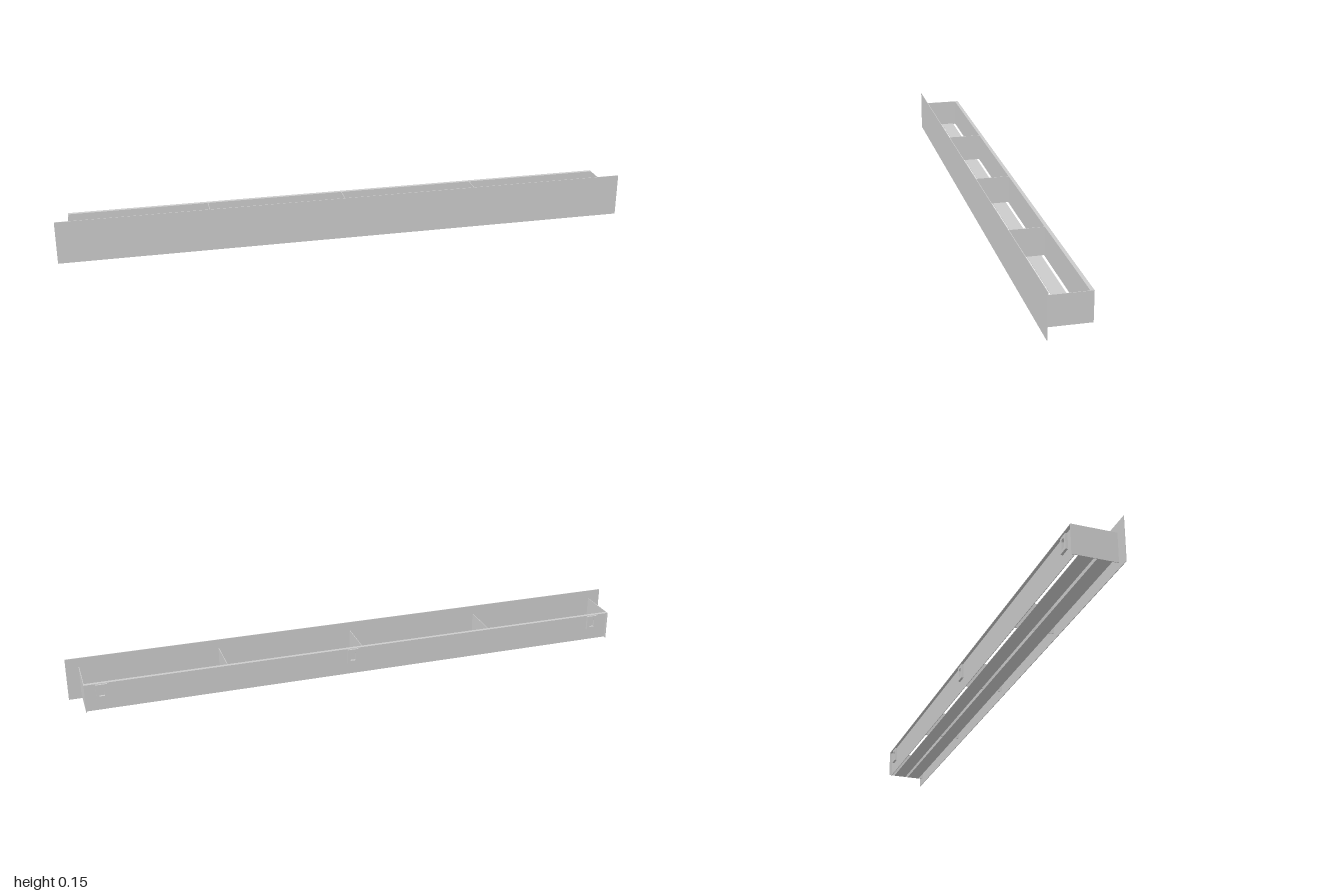
import * as THREE from 'three';

export function createModel() {
  const model = new THREE.Group();
  const mat = new THREE.MeshStandardMaterial({ color: 0xcccccc, flatShading: true, side: THREE.DoubleSide });

  // Box given by its min and max corners
  const box = (name, x0, x1, y0, y1, z0, z1) => {
    const mesh = new THREE.Mesh(new THREE.BoxGeometry(x1 - x0, y1 - y0, z1 - z0), mat);
    mesh.position.set((x0 + x1) / 2, (y0 + y1) / 2, (z0 + z1) / 2);
    mesh.name = name;
    model.add(mesh);
  };

  const T = 0.002;               // sheet thickness
  const END = 0.957;             // half length of the tray
  const Y0 = 0.018, Y1 = 0.118;  // tray bottom and top
  const BACK = -0.075, WALL = -0.065, FRONT = 0.075;

  // Wide front fascia
  box('frontPanel', -1, 1, 0, 0.15, FRONT - T, FRONT);

  // Back wall, set in beneath a narrow top lip
  box('backWall', -END, END, Y0, Y1, WALL, WALL + T);
  box('backLip', -END, END, Y1 - T, Y1, BACK, WALL);

  // End plates
  for (const s of [-1, 1]) {
    const a = s * END, b = s * (END - T);
    box('endPlate', Math.min(a, b), Math.max(a, b), Y0, Y1, BACK, FRONT - T);
  }

  // Inner dividers
  for (const x of [-0.478, 0, 0.478]) box('divider', x - T / 2, x + T / 2, Y0 + T, Y1, WALL + T, FRONT - T);

  // Two floor slats with gaps between them
  for (const z of [-0.029, 0.029]) box('floorSlat', -END + T, END - T, Y0, Y0 + T, z - 0.024, z + 0.024);

  // Slotted hanger plates on the back wall
  const plate = new THREE.Shape();
  plate.moveTo(-0.019, -0.026).lineTo(0.019, -0.026).lineTo(0.019, 0.026).lineTo(-0.019, 0.026).closePath();
  const slot = new THREE.Path();
  slot.moveTo(-0.009, -0.016).lineTo(-0.009, 0.009);
  slot.absarc(0, 0.009, 0.009, Math.PI, 0, true);
  slot.lineTo(0.009, -0.016).closePath();
  plate.holes.push(slot);
  const hangerGeo = new THREE.ExtrudeGeometry(plate, { depth: 0.008, bevelEnabled: false, curveSegments: 8 });
  for (const x of [-0.895, 0.035, 0.9]) {
    const hanger = new THREE.Mesh(hangerGeo, mat);
    hanger.position.set(x, 0.086, WALL - 0.008);
    hanger.name = 'hanger';
    model.add(hanger);
  }

  return model;
}
